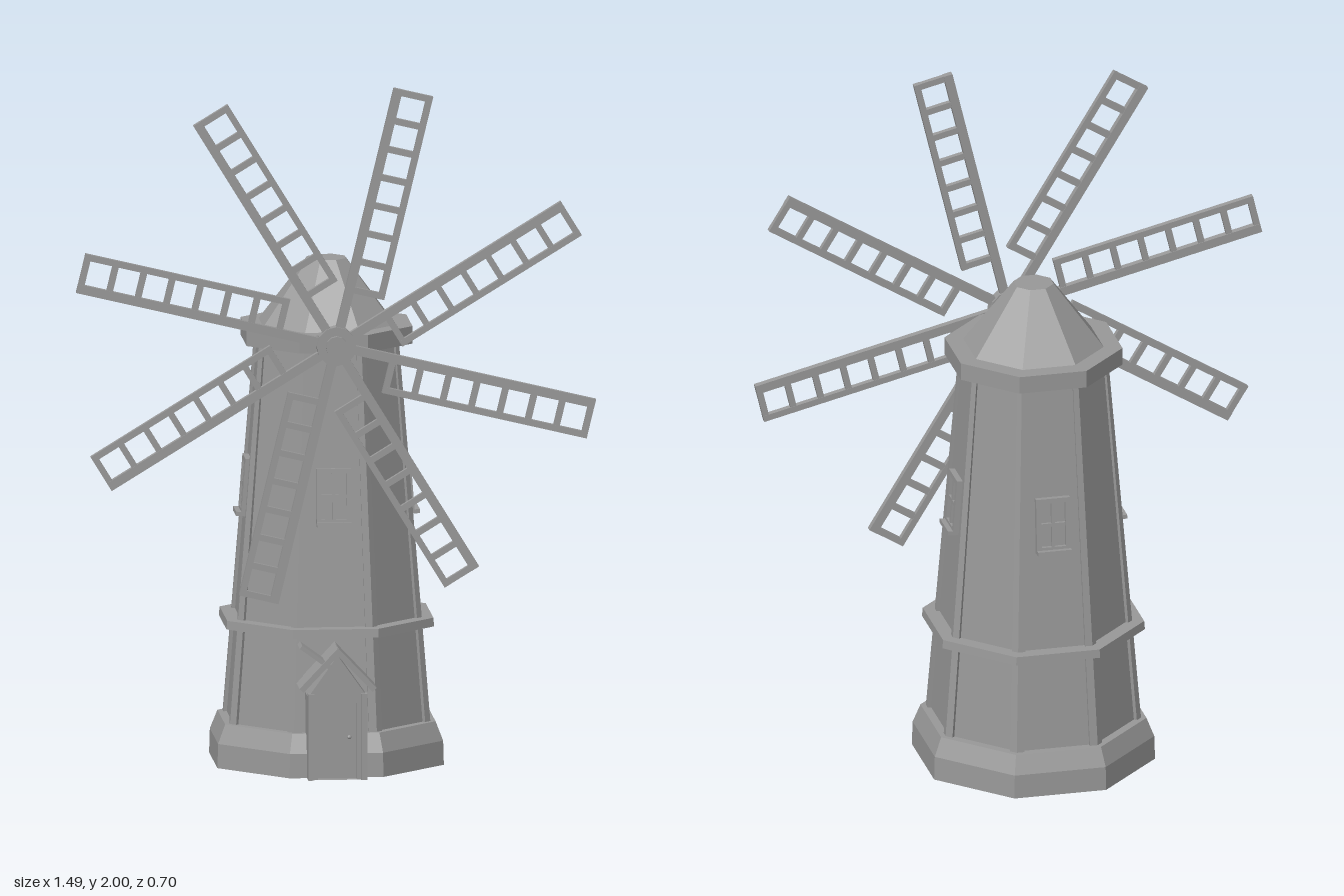
import * as THREE from 'three';

const mat = new THREE.MeshStandardMaterial({ color: 0x999999, flatShading: true });
const CZ = -0.027; // tower axis
const HUB_Y = 1.25;

function add(parent, name, geo, x = 0, y = 0, z = 0) {
  const m = new THREE.Mesh(geo, mat);
  m.name = name;
  m.position.set(x, y, z);
  parent.add(m);
  return m;
}

function group(parent, name) {
  const g = new THREE.Group();
  g.name = name;
  parent.add(g);
  return g;
}

const box = (w, h, d) => new THREE.BoxGeometry(w, h, d);

// Octagonal frustum with flat faces to the front and sides; sizes are apothems
function octagon(bottom, top, y0, y1) {
  const k = 1 / Math.cos(Math.PI / 8);
  const g = new THREE.CylinderGeometry(top * k, bottom * k, y1 - y0, 8, 1, false, Math.PI / 8);
  return g.translate(0, (y0 + y1) / 2, 0);
}

// Tapered tower: octagon outline with recessed panels between corner posts
function towerGeometry(a0, a1, y0, y1) {
  const half = Math.tan(Math.PI / 8), post = 0.08, recess = 0.035, pts = [];
  for (let i = 0; i < 8; i++) {
    const axis = new THREE.Vector2();
    for (const [u, v] of [[1, -half], [1, -half + post], [1 - recess, -half + post],
      [1 - recess, half - post], [1, half - post]]) {
      pts.push(new THREE.Vector2(u, v).rotateAround(axis, i * Math.PI / 4));
    }
  }
  const g = new THREE.ExtrudeGeometry(new THREE.Shape(pts), { depth: 1, bevelEnabled: false });
  g.rotateX(-Math.PI / 2);
  const p = g.attributes.position;
  for (let i = 0; i < p.count; i++) {
    const t = p.getY(i), s = THREE.MathUtils.lerp(a0, a1, t);
    p.setXYZ(i, p.getX(i) * s, THREE.MathUtils.lerp(y0, y1, t), p.getZ(i) * s);
  }
  g.computeVertexNormals();
  return g;
}

// Four-pane window with a sill, leaning with the wall
function addWindow(parent, angle) {
  const pivot = group(parent, 'window');
  pivot.rotation.y = angle;
  const w = group(pivot, 'windowFrame');
  w.position.set(0, 0.8, 0.225);
  w.rotation.x = -0.077;
  add(w, 'windowPane', box(0.09, 0.15, 0.012));
  for (const s of [-1, 1]) {
    add(w, 'windowJamb', box(0.014, 0.16, 0.03), s * 0.043, 0, 0.003);
    add(w, 'windowRail', box(0.1, 0.014, 0.03), 0, s * 0.073, 0.003);
  }
  add(w, 'windowMullion', box(0.01, 0.146, 0.026), 0, 0, 0.003);
  add(w, 'windowCrossbar', box(0.08, 0.01, 0.026), 0, 0, 0.003);
  add(w, 'windowSill', box(0.1, 0.012, 0.05), 0, -0.08, 0.008);
}

// Pointed outline used for the porch and its doorway
function gable(Type, w, eave, apex) {
  const s = new Type();
  s.moveTo(-w, 0);
  s.lineTo(w, 0);
  s.lineTo(w, eave);
  s.lineTo(0, apex);
  s.lineTo(-w, eave);
  s.closePath();
  return s;
}

function addBoard(parent, name, x0, y0, x1, y1, thick, z0, z1) {
  const b = add(parent, name, box(Math.hypot(x1 - x0, y1 - y0), thick, z1 - z0),
    (x0 + x1) / 2, (y0 + y1) / 2, (z0 + z1) / 2);
  b.rotation.z = Math.atan2(y1 - y0, x1 - x0);
}

function addPorch(parent) {
  const porch = group(parent, 'porch');
  const wall = gable(THREE.Shape, 0.085, 0.24, 0.36);
  wall.holes.push(gable(THREE.Path, 0.056, 0.22, 0.3));
  add(porch, 'porchWall', new THREE.ExtrudeGeometry(wall, { depth: 0.135, bevelEnabled: false }), 0, 0, 0.2);
  add(porch, 'door', new THREE.ExtrudeGeometry(gable(THREE.Shape, 0.06, 0.22, 0.303),
    { depth: 0.11, bevelEnabled: false }), 0, 0, 0.2);
  add(porch, 'doorKnob', new THREE.SphereGeometry(0.006, 8, 6), 0.035, 0.12, 0.315);
  for (const s of [-1, 1]) {
    addBoard(porch, 'porchRoof', s * 0.105, 0.262, -s * 0.005, 0.378, 0.016, 0.22, 0.35);
    add(porch, 'doorPost', box(0.018, 0.25, 0.02), s * 0.076, 0.125, 0.333);
  }
  // Roof board running on past the ridge
  addBoard(porch, 'ridgeBoard', -0.106, 0.388, -0.02, 0.325, 0.012, 0.27, 0.345);
}

// Ladder-like sail pointing along +x, lattice on its clockwise side
function addSail(parent, angle) {
  const sail = group(parent, 'sail');
  sail.rotation.z = angle;
  const r0 = 0.16, r1 = 0.764, rungs = 8;
  add(sail, 'spar', box(r1, 0.026, 0.02), r1 / 2, 0, 0);
  add(sail, 'outerRail', box(r1 - r0, 0.018, 0.018), (r0 + r1) / 2, -0.094, 0);
  for (let i = 0; i < rungs; i++) {
    const x = THREE.MathUtils.lerp(r0 + 0.009, r1 - 0.009, i / (rungs - 1));
    add(sail, 'rung', box(0.018, 0.1, 0.016), x, -0.053, 0);
  }
}

export function createModel() {
  const model = new THREE.Group();
  model.name = 'windmill';

  // Tower and cap
  const tower = group(model, 'tower');
  tower.position.z = CZ;
  add(tower, 'plinth', octagon(0.325, 0.323, 0, 0.07));
  add(tower, 'plinthSlope', octagon(0.323, 0.302, 0.07, 0.125));
  add(tower, 'towerBody', towerGeometry(0.288, 0.2, 0.12, 1.23));
  add(tower, 'stringCourse', octagon(0.298, 0.296, 0.4, 0.425));
  add(tower, 'capRing', octagon(0.238, 0.238, 1.217, 1.268));
  add(tower, 'cap', octagon(0.188, 0.054, 1.268, 1.455));
  for (let i = 0; i < 4; i++) addWindow(tower, i * Math.PI / 2);

  addPorch(model);

  // Rotor
  const rotor = group(model, 'rotor');
  rotor.position.set(0, HUB_Y, 0.28);
  const disc = (r, d) => new THREE.CylinderGeometry(r, r, d, 12).rotateX(Math.PI / 2);
  add(rotor, 'shaft', disc(0.027, 0.2), 0, 0, -0.1);
  add(rotor, 'hubDisc', disc(0.057, 0.034));
  add(rotor, 'hub', disc(0.031, 0.05), 0, 0, 0.005);
  for (let i = 0; i < 8; i++) addSail(rotor, THREE.MathUtils.degToRad(31.5 + 45 * i));

  return model;
}
